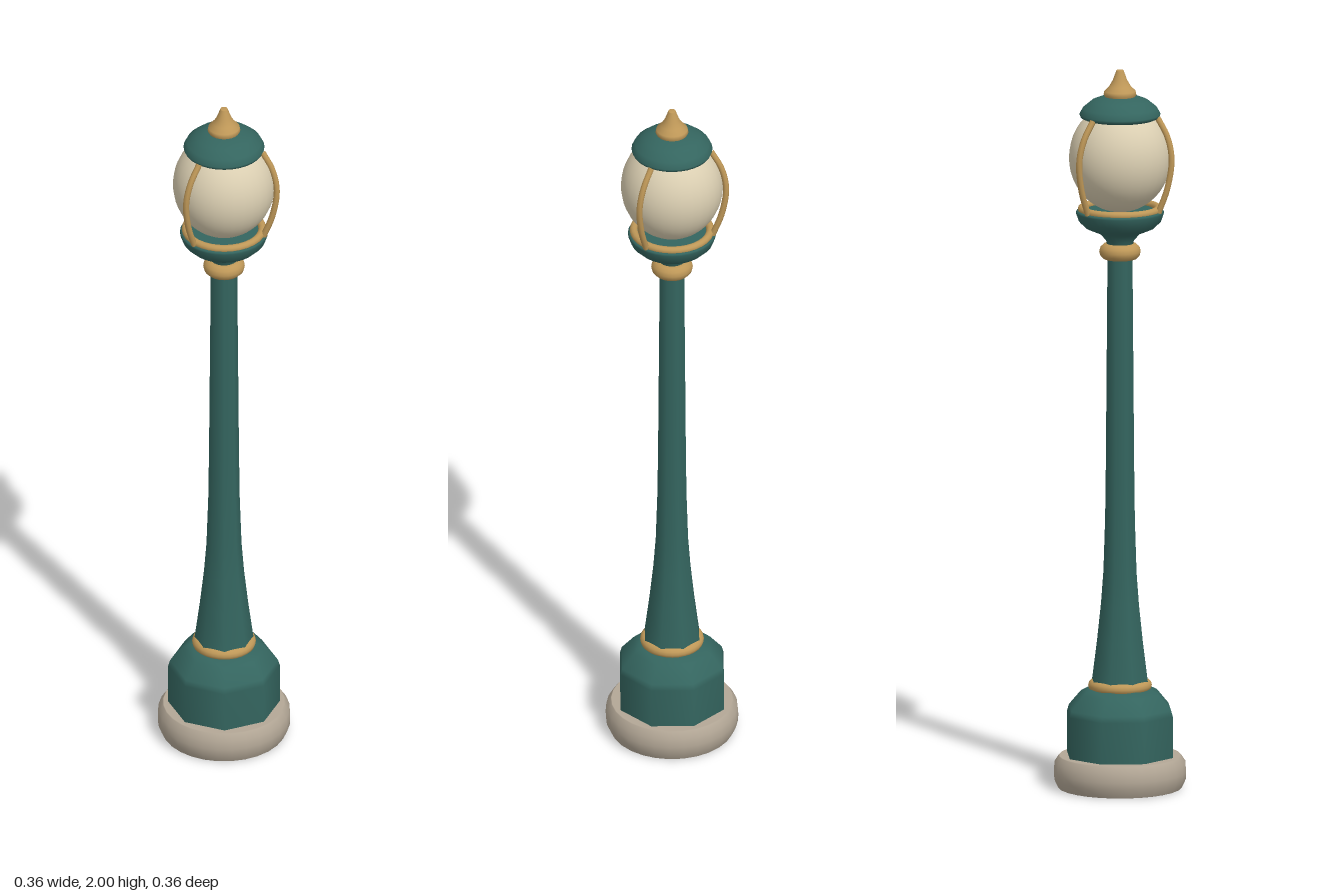
import * as THREE from 'three';

export function createModel() {
  const model = new THREE.Group();
  const mat = (name, color) => {
    const m = new THREE.MeshStandardMaterial({ color });
    m.name = name;
    return m;
  };
  const green = mat('green paint', 0x34655f);
  const brass = mat('brass', 0xbf9858);
  const stone = mat('stone', 0xb3a796);
  const glass = mat('cream glass', 0xdbcfb2);

  const add = (name, geometry, material) => {
    const mesh = new THREE.Mesh(geometry, material);
    mesh.name = name;
    model.add(mesh);
    return mesh;
  };
  // Profiles are [radius, height] pairs from bottom to top
  const turned = (name, profile, sides, material) =>
    add(name, new THREE.LatheGeometry(profile.map(p => new THREE.Vector2(...p)), sides), material);
  const ring = (name, radius, tube, y) => {
    const mesh = add(name, new THREE.TorusGeometry(radius, tube, 12, 32), brass);
    mesh.rotation.x = Math.PI / 2;
    mesh.position.y = y;
  };

  // Round footing
  turned('footing', [[0, 0], [0.168, 0], [0.17, 0.001], [0.181, 0.025], [0.182, 0.045], [0.18, 0.07],
    [0.168, 0.088], [0.166, 0.09], [0, 0.09]], 28, stone);

  // Octagonal pedestal and tapering shaft
  turned('pedestal', [[0.153, 0.085], [0.153, 0.205], [0.148, 0.222], [0.113, 0.263],
    [0.085, 0.278], [0, 0.28]], 8, green);
  turned('shaft', [[0.084, 0.275], [0.079, 0.31], [0.066, 0.41], [0.055, 0.51], [0.048, 0.6],
    [0.043, 0.75], [0.041, 0.9], [0.036, 1.5]], 8, green);
  ring('lowerCollar', 0.072, 0.0155, 0.285);

  // Neck collar and lamp cup
  ring('neckCollar', 0.034, 0.023, 1.495);
  turned('lampCup', [[0.034, 1.5], [0.038, 1.525], [0.055, 1.545], [0.095, 1.562], [0.113, 1.58],
    [0.121, 1.603], [0.119, 1.608], [0.115, 1.61], [0, 1.61]], 32, green);
  ring('cupRim', 0.105, 0.011, 1.613);

  // Globe
  const globe = add('globe', new THREE.SphereGeometry(0.14, 32, 24), glass);
  globe.scale.y = 1.08;
  globe.position.y = 1.757;

  // Cap and finial
  turned('cap', [[0, 1.86], [0.085, 1.86], [0.088, 1.861], [0.108, 1.87], [0.111, 1.878], [0.102, 1.895],
    [0.078, 1.915], [0.048, 1.927], [0, 1.93]], 32, green);
  turned('finial', [[0.038, 1.92], [0.045, 1.932], [0.043, 1.942], [0.03, 1.955], [0.02, 1.972],
    [0.0105, 1.998], [0.01, 2], [0, 2]], 24, brass);

  // Three bowed, slightly slanted guard ribs
  const rib = new THREE.TubeGeometry(new THREE.CatmullRomCurve3([
    new THREE.Vector3(-0.004, 1.61, 0.113),
    new THREE.Vector3(-0.002, 1.68, 0.138),
    new THREE.Vector3(0.001, 1.76, 0.149),
    new THREE.Vector3(0.005, 1.82, 0.136),
    new THREE.Vector3(0.009, 1.872, 0.106),
  ]), 20, 0.0085, 8);
  for (let i = 0; i < 3; i++) {
    add('guardRib' + (i + 1), rib, brass).rotation.y = i * Math.PI * 2 / 3;
  }
  return model;
}
